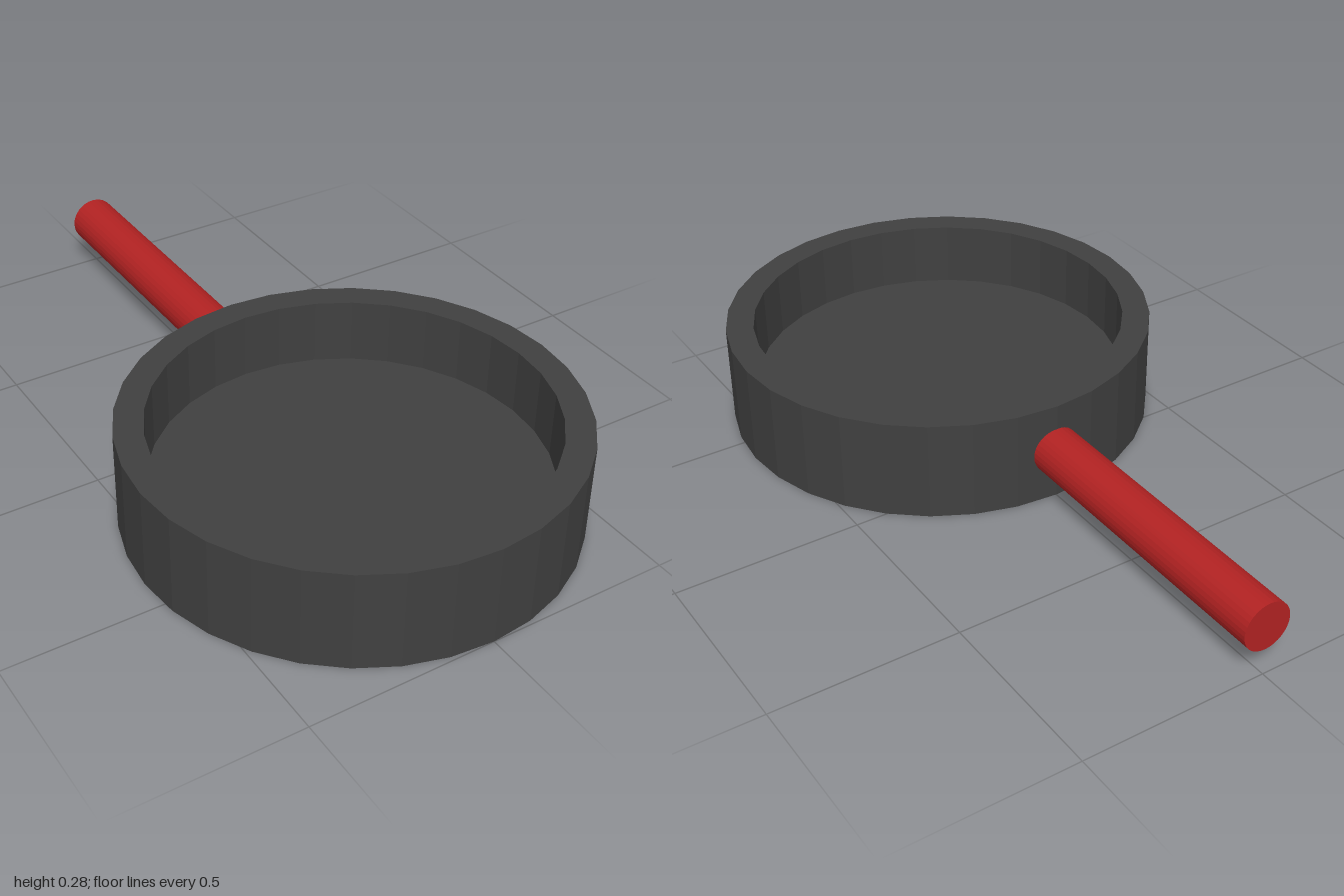
import * as THREE from 'three';

const SIDES = 32;

export function createModel() {
  const model = new THREE.Group();
  const iron = new THREE.MeshStandardMaterial({ color: 0x404040, flatShading: true });
  const red = new THREE.MeshStandardMaterial({ color: 0xb22222, flatShading: true });

  // Round pan body: underside, outer wall, flat rim, inner wall, cooking floor
  const profile = [[0, 0], [0.585, 0], [0.585, 0.275], [0.51, 0.275], [0.51, 0.095], [0, 0.095]]
    .map(([r, y]) => new THREE.Vector2(r, y));
  const pan = new THREE.Mesh(new THREE.LatheGeometry(profile, SIDES), iron);
  pan.name = 'pan';
  pan.position.z = 0.415;
  model.add(pan);

  // Straight round handle, its inner end buried in the pan wall
  const back = -1, inner = -0.13;
  const handle = new THREE.Mesh(new THREE.CylinderGeometry(0.066, 0.066, inner - back, SIDES), red);
  handle.name = 'handle';
  handle.rotation.x = Math.PI / 2;
  handle.position.set(0, 0.14, (back + inner) / 2);
  model.add(handle);

  return model;
}
